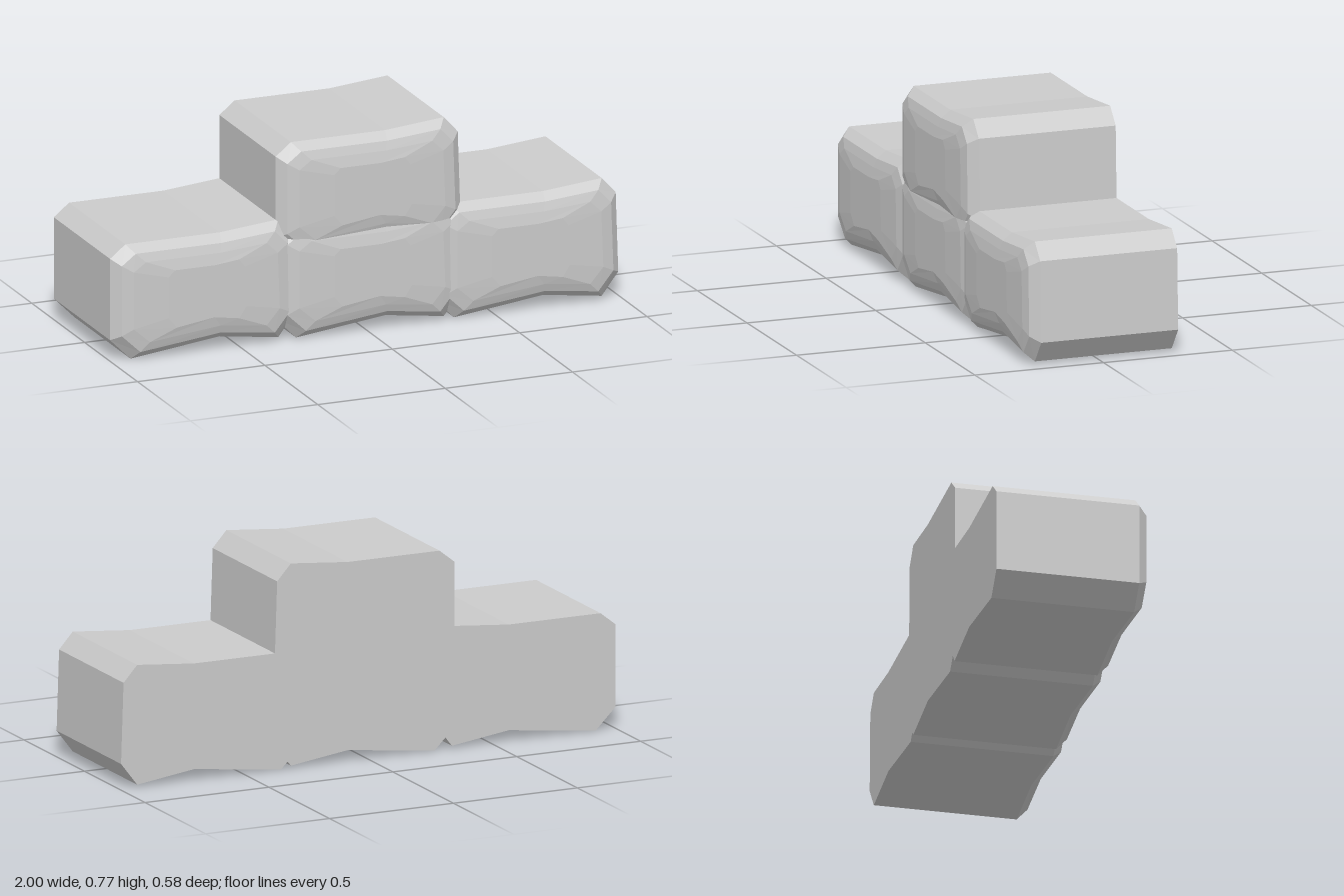
import * as THREE from 'three';

// Worn stone outline, counter-clockwise seen from the front
const OUTLINE = [
  [-0.35, 0.08], [-0.27, 0], [0.08, 0.042], [0.31, 0.01], [0.375, 0.095],
  [0.365, 0.398], [0.31, 0.459], [0.08, 0.438], [-0.29, 0.438], [-0.35, 0.39],
];
const CENTER = [0.01, 0.228];

// Cross-sections from back to front: z, x scale, y scale
const RINGS = [
  [-0.292, 1, 1],
  [0.24, 1, 1],
  [0.274, 0.91, 0.86],
  [0.284, 0.79, 0.7],
  [0.292, 0.42, 0.5],
];

function stoneGeometry() {
  const rings = RINGS.map(([z, sx, sy]) => OUTLINE.map(([x, y]) => [
    CENTER[0] + (x - CENTER[0]) * sx,
    CENTER[1] + (y - CENTER[1]) * sy,
    z,
  ]));
  const n = OUTLINE.length;
  const back = [...CENTER, RINGS[0][0]];
  const front = [...CENTER, RINGS[RINGS.length - 1][0]];
  const last = rings[rings.length - 1];
  const pos = [];
  const tri = (a, b, c) => pos.push(...a, ...b, ...c);

  for (let i = 0; i < n; i++) {
    const j = (i + 1) % n;
    // sides and rounded front edge
    for (let r = 0; r < rings.length - 1; r++) {
      const p = rings[r], q = rings[r + 1];
      tri(p[i], p[j], q[j]);
      tri(p[i], q[j], q[i]);
    }
    // flat back and front caps
    tri(back, rings[0][j], rings[0][i]);
    tri(front, last[i], last[j]);
  }
  const geometry = new THREE.BufferGeometry();
  geometry.setAttribute('position', new THREE.Float32BufferAttribute(pos, 3));
  geometry.computeVertexNormals();
  return geometry;
}

export function createModel() {
  const group = new THREE.Group();
  group.name = 'stoneBlocks';
  const material = new THREE.MeshStandardMaterial({ color: 0xcccccc, flatShading: true });
  const geometry = stoneGeometry();

  // Three blocks in a row with one on top
  const blocks = [
    ['rightBlock', -0.65, 0],
    ['middleBlock', 0, 0],
    ['leftBlock', 0.62, 0],
    ['topBlock', 0, 0.309],
  ];
  for (const [name, x, y] of blocks) {
    const block = new THREE.Mesh(geometry, material);
    block.name = name;
    block.position.set(x, y, 0);
    group.add(block);
  }
  return group;
}
